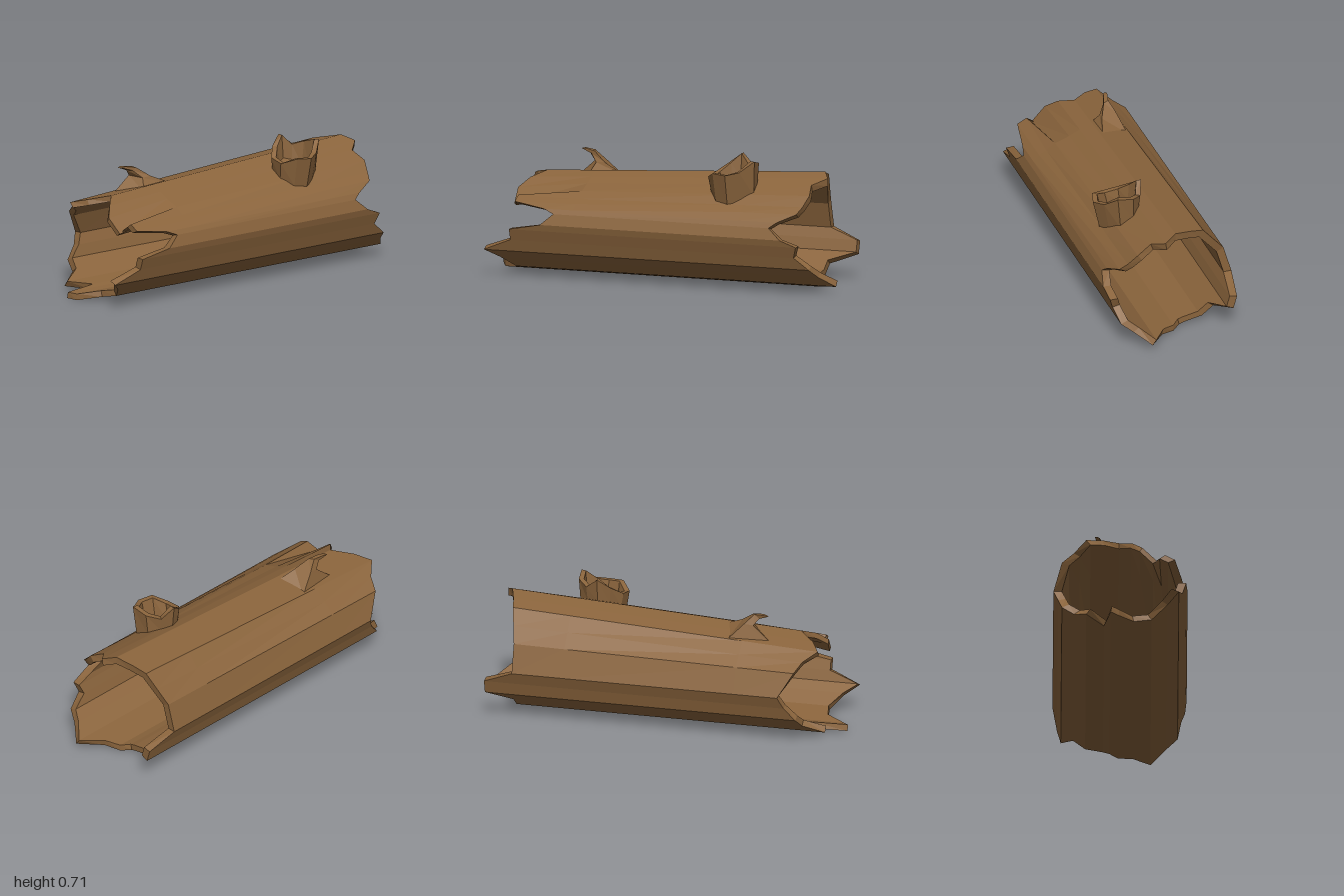
import * as THREE from 'three';

const bark = new THREE.MeshStandardMaterial({ color: 0x8a643c });
bark.name = 'bark brown';

// Flat-faced skin over rings of points; closed joins the last ring to the first
function skin(name, rings, closed) {
  const pos = [];
  const n = rings[0].length;
  const last = closed ? rings.length : rings.length - 1;
  for (let i = 0; i < last; i++) {
    const p = rings[i], q = rings[(i + 1) % rings.length];
    for (let j = 0; j < n; j++) {
      const k = (j + 1) % n;
      pos.push(...p[j], ...q[j], ...q[k], ...p[j], ...q[k], ...p[k]);
    }
  }
  const g = new THREE.BufferGeometry();
  g.setAttribute('position', new THREE.Float32BufferAttribute(pos, 3));
  g.computeVertexNormals();
  const mesh = new THREE.Mesh(g, bark);
  mesh.name = name;
  return mesh;
}

// Trunk outline from the bottom round by +x: x, y, broken front z, broken back z
const OUTLINE = [
  [-0.01, 0.004, 0.97, -0.84], [0.07, 0.02, 0.86, -0.88], [0.165, 0.04, 0.84, -1.0],
  [0.25, 0.1, 0.9, -0.93], [0.31, 0.145, 0.97, -0.9], [0.33, 0.21, 0.81, -0.82],
  [0.35, 0.27, 0.81, -0.84], [0.358, 0.305, 0.63, -0.75], [0.34, 0.365, 0.56, -0.68],
  [0.325, 0.395, 0.62, -0.72], [0.29, 0.44, 0.8, -0.82], [0.25, 0.475, 0.8, -0.84],
  [0.2, 0.53, 0.84, -0.86], [0.12, 0.575, 0.85, -0.84], [0.06, 0.605, 0.8, -0.91],
  [-0.01, 0.63, 0.73, -0.87], [-0.1, 0.61, 0.82, -0.84], [-0.185, 0.59, 0.87, -0.82],
  [-0.25, 0.51, 0.8, -0.8], [-0.315, 0.43, 0.77, -0.78], [-0.36, 0.275, 0.69, -0.78],
  [-0.335, 0.21, 0.72, -0.94], [-0.315, 0.14, 0.78, -0.94], [-0.25, 0.09, 0.8, -0.8],
  [-0.185, 0.04, 0.91, -0.8], [-0.09, 0.022, 0.8, -0.8], [-0.055, 0.012, 1.0, -0.8],
];
// Sagging flap of bark at the front edge
const SAG = { 11: [0.237, 0.44], 12: [0.195, 0.385], 13: [0.115, 0.46], 14: [0.06, 0.51] };

function trunkRing(station, scale) {
  return OUTLINE.map(([x, y, front, back], j) => {
    const z = [front, 0.45, -0.5, back][station];
    const toFront = THREE.MathUtils.clamp((z + 0.87) / 1.74, 0, 1);
    let px = x;
    let py = y - 0.095 * toFront * THREE.MathUtils.clamp((y - 0.38) / 0.2, 0, 1);
    if (station === 0 && SAG[j]) [px, py] = SAG[j];
    return [px * scale, 0.28 + (py - 0.28) * scale, z];
  });
}

// Hollow branch stub: radius and jagged height by angle
const STUB = [
  [0.13, 0.625], [0.135, 0.63], [0.14, 0.6], [0.13, 0.615], [0.115, 0.66],
  [0.12, 0.71], [0.115, 0.655], [0.13, 0.675], [0.14, 0.695], [0.115, 0.64],
];

function stubRing(top, inset) {
  return STUB.map(([r, h], j) => {
    const a = (j / STUB.length) * Math.PI * 2;
    const c = Math.cos(a), s = Math.sin(a);
    const rr = r - inset - (top ? 0 : 0.012);
    return [0.14 + c * rr + (top ? 0.012 * (1 + c) : 0), top ? h : 0.525 - 0.06 * c, -0.41 + s * rr];
  });
}

export function createModel() {
  const log = new THREE.Group();
  log.name = 'hollowLog';

  // Trunk wall: outside front to back, then inside back to front
  log.add(skin('trunk', [
    ...[0, 1, 2, 3].map((s) => trunkRing(s, 1)),
    ...[3, 2, 1, 0].map((s) => trunkRing(s, 0.875)),
  ], true));

  log.add(skin('branchStub',
    [stubRing(false, 0), stubRing(true, 0), stubRing(true, 0.028), stubRing(false, 0.028)], true));

  // Lifted splinter of bark, curling forward to a point
  log.add(skin('splinter', [
    [[-0.01, 0.53, 0.27], [-0.01, 0.525, 0.5], [-0.15, 0.5, 0.61], [-0.18, 0.51, 0.36]],
    [[-0.055, 0.595, 0.42], [-0.06, 0.59, 0.47], [-0.14, 0.595, 0.5], [-0.145, 0.6, 0.45]],
    [[-0.09, 0.645, 0.49], [-0.095, 0.63, 0.51], [-0.125, 0.63, 0.53], [-0.12, 0.65, 0.5]],
    [[-0.11, 0.655, 0.55], [-0.115, 0.65, 0.57], [-0.138, 0.65, 0.58], [-0.135, 0.655, 0.56]],
    [[-0.125, 0.65, 0.58], [-0.125, 0.65, 0.58], [-0.125, 0.65, 0.58], [-0.125, 0.65, 0.58]],
  ], false));

  return log;
}
